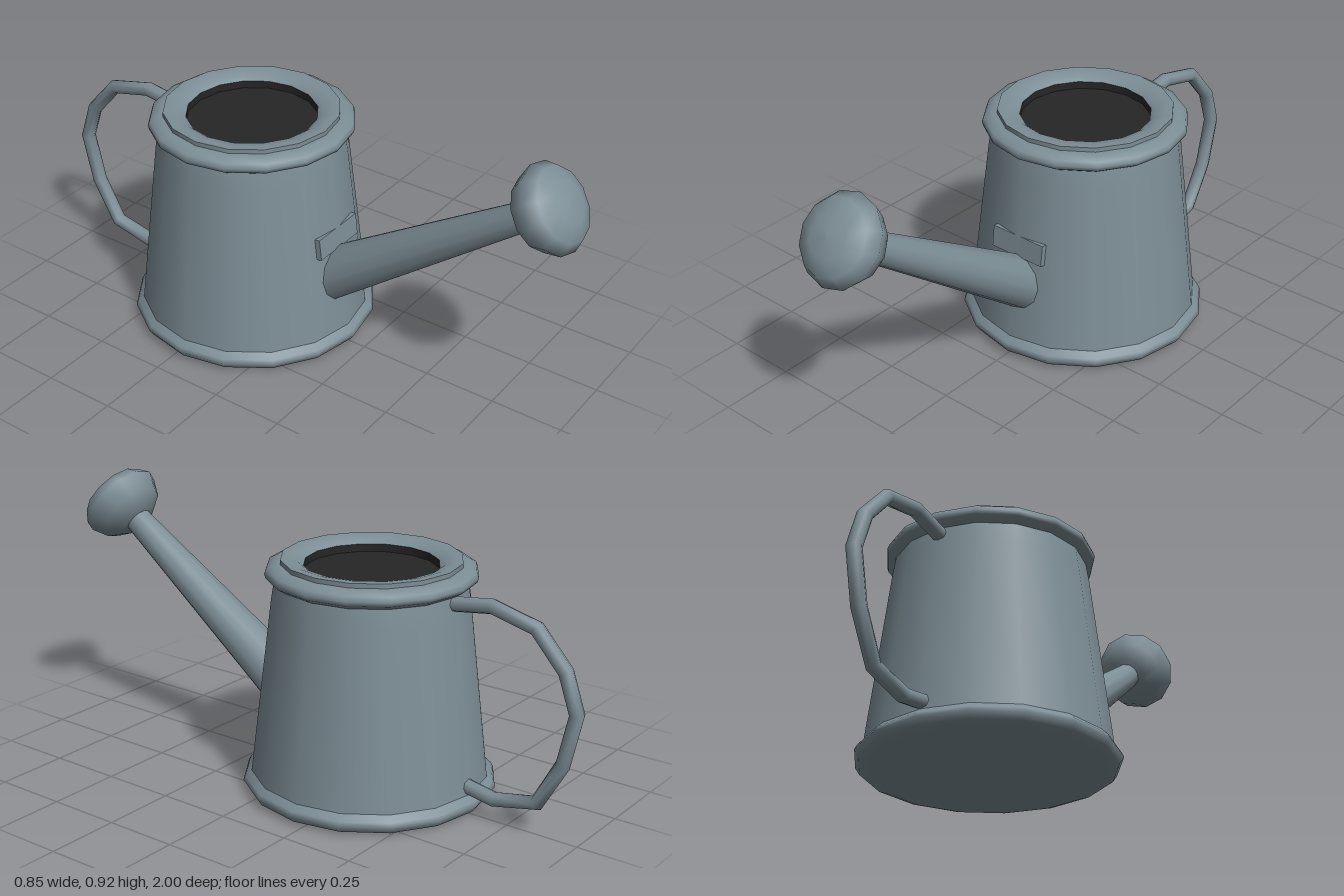
import * as THREE from 'three';

const metal = new THREE.MeshStandardMaterial({ color: 0x7d8e96 });
metal.name = 'grey metal';
const dark = new THREE.MeshStandardMaterial({ color: 0x262626 });
dark.name = 'dark inside';

const BODY_Z = -0.215;
const UP = new THREE.Vector3(0, 1, 0);

function part(name, geometry, material = metal) {
  const mesh = new THREE.Mesh(geometry, material);
  mesh.name = name;
  return mesh;
}

// Lathe from [radius, y, sharp] rows; sharp rows are doubled to keep a crisp edge
function lathe(rows, sides) {
  const points = [];
  for (const [r, y, sharp] of rows) {
    points.push(new THREE.Vector2(r, y));
    if (sharp) points.push(new THREE.Vector2(r, y));
  }
  return new THREE.LatheGeometry(points, sides);
}

// Straight-segment path with mitred corners
class Polyline extends THREE.Curve {
  constructor(points) {
    super();
    this.points = points;
  }
  getPoint(t, target = new THREE.Vector3()) {
    const last = this.points.length - 1;
    const i = Math.min(Math.floor(t * last + 1e-9), last - 1);
    return target.lerpVectors(this.points[i], this.points[i + 1], t * last - i);
  }
  getPointAt(t, target) { return this.getPoint(t, target); }
  getTangentAt(t, target) { return this.getTangent(t, target); }
}

export function createModel() {
  const model = new THREE.Group();
  model.name = 'wateringCan';

  // Tapered body with rolled foot, rolled rim and collar
  const body = part('body', lathe([
    [0, 0], [0.38, 0, true],
    [0.408, 0.01], [0.4225, 0.032], [0.415, 0.047], [0.395, 0.066, true],
    [0.325, 0.655], [0.316, 0.712, true],
    [0.342, 0.728], [0.346, 0.742], [0.34, 0.758], [0.315, 0.77], [0.295, 0.771, true],
    [0.295, 0.786, true], [0.268, 0.786], [0.238, 0.778], [0.22, 0.765],
  ], 16));
  body.position.z = BODY_Z;
  model.add(body);

  // Dark recess in the opening
  const opening = part('opening', lathe([[0.22, 0.766], [0.22, 0.74, true], [0, 0.74]], 16), dark);
  opening.position.z = BODY_Z;
  model.add(opening);

  // Small plate on the body above the spout joint
  const plate = part('spoutPlate', new THREE.BoxGeometry(0.21, 0.075, 0.06));
  plate.position.set(0, 0.402, 0.108);
  plate.rotation.x = -0.115;
  model.add(plate);

  // Tapered spout
  const from = new THREE.Vector3(0, 0.23, 0.08);
  const to = new THREE.Vector3(0, 0.745, 0.825);
  const along = to.clone().sub(from);
  const spout = part('spout', new THREE.CylinderGeometry(0.047, 0.093, along.length(), 12));
  spout.position.addVectors(from, to).multiplyScalar(0.5);
  spout.quaternion.setFromUnitVectors(UP, along.normalize());
  model.add(spout);

  // Domed sprinkler head
  const rose = part('sprinklerHead', lathe([
    [0, -0.105], [0.068, -0.1], [0.12, -0.061], [0.148, 0],
    [0.122, 0.042], [0.066, 0.065], [0, 0.07],
  ], 12));
  rose.position.set(0, 0.794, 0.897);
  rose.quaternion.setFromUnitVectors(UP, new THREE.Vector3(0, 0.583, 0.813).normalize());
  model.add(rose);

  // Bent handle, listed as [z, y]
  const bends = [
    [-0.49, 0.685], [-0.667, 0.71], [-0.825, 0.672], [-0.93, 0.556], [-0.974, 0.43],
    [-0.936, 0.257], [-0.853, 0.107], [-0.7, 0.075], [-0.56, 0.1],
  ].map(([z, y]) => new THREE.Vector3(0, y, z));
  model.add(part('handle', new THREE.TubeGeometry(new Polyline(bends), bends.length - 1, 0.025, 8)));

  return model;
}
